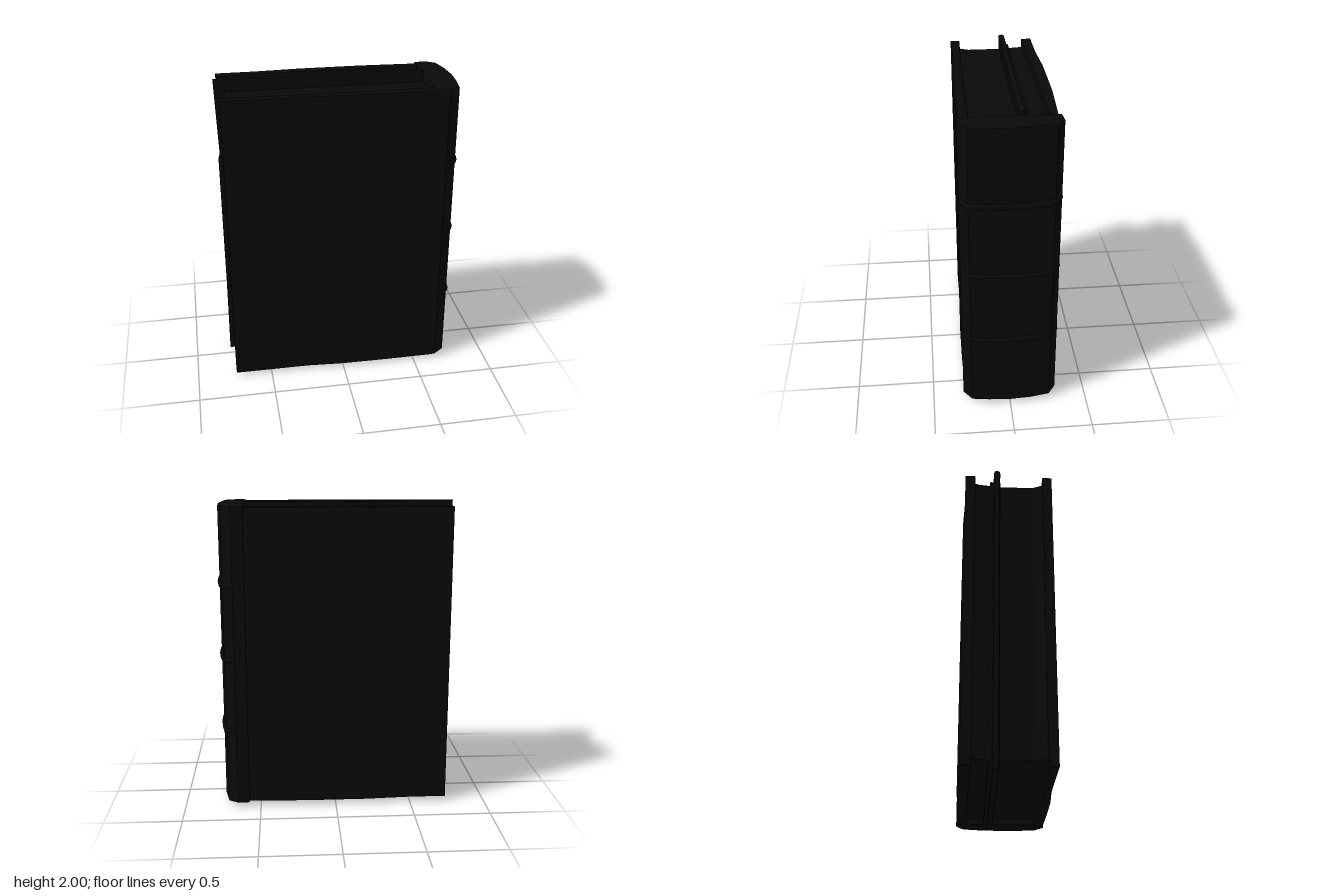
import * as THREE from 'three';

const material = new THREE.MeshStandardMaterial({ color: 0x0a0a0a });

function addMesh(group, name, geometry) {
  const mesh = new THREE.Mesh(geometry, material);
  mesh.name = name;
  group.add(mesh);
  return mesh;
}

// Plan outline of [x, z] points raised from y0 to y1, with a small bevel inside the outline.
function slab(points, y0, y1, bevel = 0.006) {
  const shape = new THREE.Shape(points.map(([x, z]) => new THREE.Vector2(x, -z)));
  const geometry = new THREE.ExtrudeGeometry(shape, {
    depth: y1 - y0 - 2 * bevel, bevelEnabled: bevel > 0,
    bevelThickness: bevel, bevelSize: bevel, bevelOffset: -bevel, bevelSegments: 2,
  });
  return geometry.rotateX(-Math.PI / 2).translate(0, y0 + bevel, 0);
}

export function createModel() {
  const book = new THREE.Group();
  book.name = 'book';

  // Slightly bowed cover boards
  addMesh(book, 'frontCover', slab([
    [-0.74, 0.215], [-0.74, 0.275], [-0.25, 0.276], [0, 0.292], [0.3, 0.295],
    [0.62, 0.293], [0.62, 0.23], [0, 0.23],
  ], 0.02, 1.975));
  addMesh(book, 'backCover', slab([
    [-0.74, -0.215], [0, -0.23], [0.62, -0.23], [0.62, -0.277], [0.2, -0.296],
    [-0.2, -0.296], [-0.48, -0.281], [-0.74, -0.28],
  ], 0.03, 1.975));

  // Page block with a hollow fore-edge, set below the covers
  addMesh(book, 'pages', slab([
    [-0.735, 0.225], [-0.70, 0.155], [-0.70, -0.055], [-0.71, -0.12],
    [-0.72, -0.19], [-0.735, -0.225], [0.6, -0.24], [0.6, 0.24],
  ], 0.07, 1.92, 0));

  // Loose section standing out of the page block, with a sagging top edge
  const sheet = new THREE.Shape();
  sheet.moveTo(-0.76, 0.005);
  sheet.lineTo(0.565, 0.005);
  sheet.lineTo(0.57, 1.995);
  sheet.quadraticCurveTo(0.3, 1.985, 0, 1.982);
  sheet.quadraticCurveTo(-0.3, 1.985, -0.5, 1.995);
  sheet.lineTo(-0.76, 1.995);
  sheet.lineTo(-0.745, 1.5);
  sheet.lineTo(-0.755, 1.47);
  sheet.lineTo(-0.755, 0.55);
  sheet.closePath();
  const sheetGeometry = new THREE.ExtrudeGeometry(sheet, {
    depth: 0.016, bevelEnabled: true, bevelThickness: 0.012, bevelSize: 0.01,
    bevelOffset: -0.006, bevelSegments: 2, curveSegments: 8,
  });
  addMesh(book, 'raisedSection', sheetGeometry.translate(0, 0, -0.085));

  // Wider root of the loose section
  addMesh(book, 'sectionRoot', slab([
    [-0.715, -0.055], [0.59, -0.055], [0.59, -0.12], [-0.715, -0.12],
  ], 0.04, 1.95));

  // Rounded spine
  const back = [
    [0.65, 0.303], [0.722, 0.25], [0.738, 0.14], [0.747, 0],
    [0.738, -0.14], [0.715, -0.26], [0.65, -0.305],
  ];
  addMesh(book, 'spine', slab(
    [[0.57, 0.295], ...back, [0.575, -0.30]], 0.025, 1.98, 0.012));

  // Raised bands following the spine
  const path = new THREE.CatmullRomCurve3(
    back.map(([x, z]) => new THREE.Vector3(x - 0.003, 0, z * 0.975)));
  [[0.525, 0.02], [1.005, 0.016], [1.485, 0.022]].forEach(([y, halfHeight], i) => {
    const band = addMesh(book, 'spineBand' + (i + 1), new THREE.TubeGeometry(path, 24, 0.014, 8));
    band.scale.y = halfHeight / 0.014;
    band.position.y = y;
  });

  return book;
}
